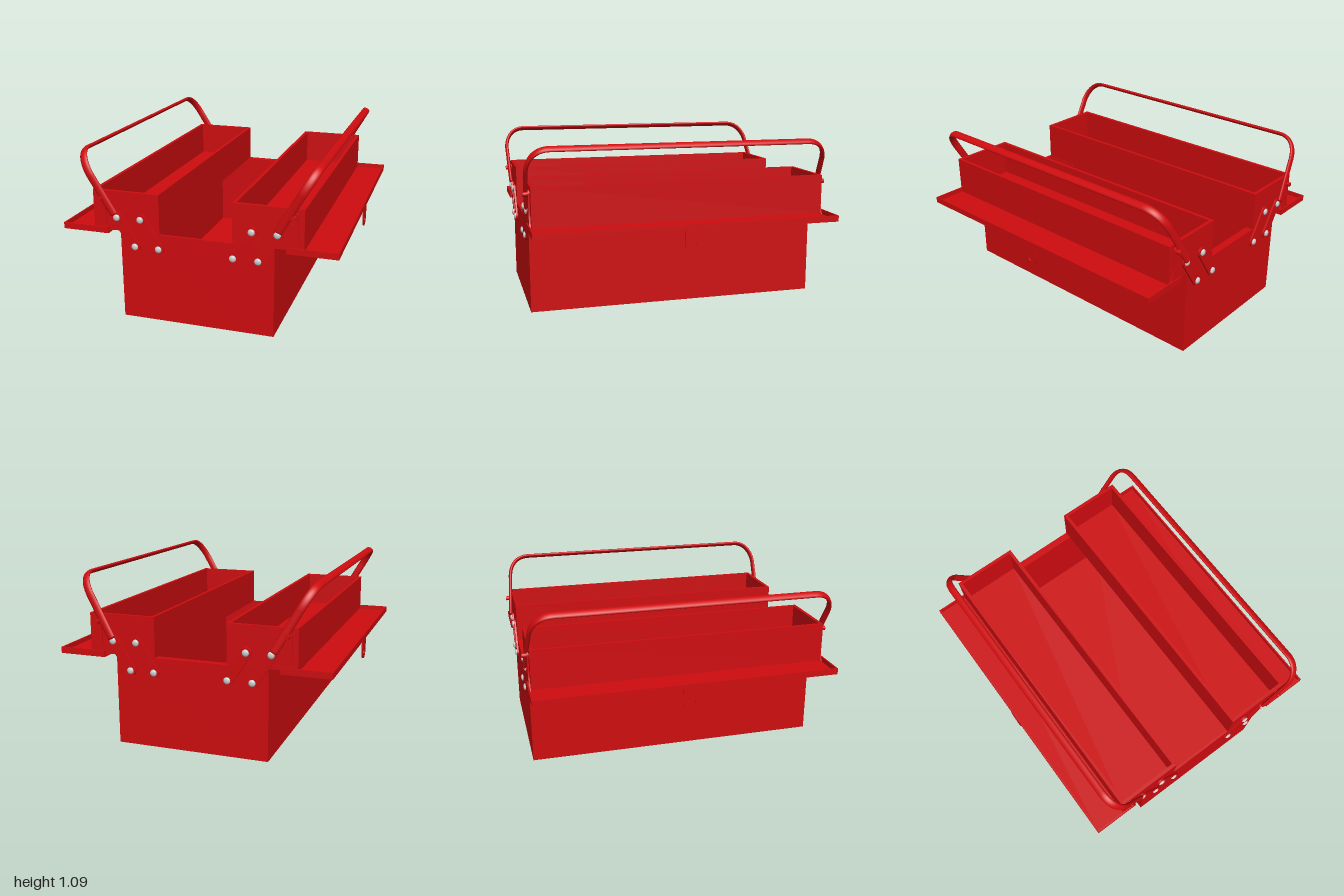
import * as THREE from 'three';

const red = new THREE.MeshStandardMaterial({ color: 0xcf0c0f });
const grey = new THREE.MeshStandardMaterial({ color: 0xcccccc });

function add(parent, name, geometry, material = red) {
  const mesh = new THREE.Mesh(geometry, material);
  mesh.name = name;
  parent.add(mesh);
  return mesh;
}

// Box given by its min and max corners
function block(x0, x1, y0, y1, z0, z1) {
  return new THREE.BoxGeometry(x1 - x0, y1 - y0, z1 - z0)
    .translate((x0 + x1) / 2, (y0 + y1) / 2, (z0 + z1) / 2);
}

function rectangle(target, w, d) {
  target.moveTo(-w / 2, -d / 2);
  target.lineTo(w / 2, -d / 2);
  target.lineTo(w / 2, d / 2);
  target.lineTo(-w / 2, d / 2);
  target.closePath();
  return target;
}

function plate(shape, depth) {
  return new THREE.ExtrudeGeometry(shape, { depth, bevelEnabled: false, curveSegments: 16 });
}

// Open-topped container: a ring of walls and a floor
function openBox(name, w, h, d, t) {
  const group = new THREE.Group();
  group.name = name;
  const ring = rectangle(new THREE.Shape(), w, d);
  ring.holes.push(rectangle(new THREE.Path(), w - 2 * t, d - 2 * t));
  add(group, name + 'Walls', plate(ring, h).rotateX(-Math.PI / 2));
  add(group, name + 'Floor', block(-w / 2 + t, w / 2 - t, 0, t, -d / 2 + t, d / 2 - t));
  return group;
}

// Flat bar with round ends
function linkGeometry(a, b, r, depth) {
  const angle = Math.atan2(b.y - a.y, b.x - a.x);
  const shape = new THREE.Shape();
  shape.absarc(b.x, b.y, r, angle - Math.PI / 2, angle + Math.PI / 2);
  shape.absarc(a.x, a.y, r, angle + Math.PI / 2, angle + 1.5 * Math.PI);
  shape.closePath();
  return plate(shape, depth);
}

// Flared hinge tab standing at each end of a lid
function hingeShape() {
  const s = new THREE.Shape();
  s.moveTo(0.57, 0.57);
  s.lineTo(0.675, 0.57);
  s.quadraticCurveTo(0.638, 0.63, 0.636, 0.7);
  s.lineTo(0.636, 0.79);
  s.absarc(0.612, 0.79, 0.024, 0, Math.PI);
  s.lineTo(0.588, 0.7);
  s.quadraticCurveTo(0.586, 0.63, 0.57, 0.6);
  s.closePath();
  return s;
}

// Tray, lid, hinges, latch and links of one side
function createSide(name) {
  const side = new THREE.Group();
  side.name = name;
  const tray = openBox('tray', 0.437, 0.256, 1.92, 0.022);
  tray.position.set(0.453, 0.579, 0);
  side.add(tray);

  // Lid folded open, with its rim turned up
  add(side, 'lidPanel', block(0.57, 0.88, 0.56, 0.57, -0.98, 0.98));
  add(side, 'lidOuterRim', block(0.87, 0.88, 0.57, 0.6, -0.98, 0.98));

  // Latch tab with a hole
  const tab = new THREE.Shape();
  tab.moveTo(0.056, 0.6);
  tab.lineTo(-0.056, 0.6);
  tab.lineTo(-0.056, 0.486);
  tab.absarc(0, 0.486, 0.056, Math.PI, 2 * Math.PI);
  tab.closePath();
  const hole = new THREE.Path();
  hole.absarc(0, 0.48, 0.021, 0, 2 * Math.PI, true);
  tab.holes.push(hole);
  add(side, 'latchTab', plate(tab, 0.008).rotateY(Math.PI / 2).translate(0.873, 0, 0));

  for (const e of [1, -1]) {
    add(side, 'lidEndRim', block(0.57, 0.87, 0.57, 0.6, e * 0.975 - 0.005, e * 0.975 + 0.005));
    add(side, 'lidHinge', plate(hingeShape(), 0.01).translate(0, 0, e * 0.967 - 0.005));
    add(side, 'hingePin', new THREE.CylinderGeometry(0.015, 0.015, 0.05, 20)
      .rotateX(Math.PI / 2).translate(0.612, 0.785, e * 0.977));
    for (const x of [0.24, 0.397]) {
      const low = new THREE.Vector2(x, 0.487);
      const high = new THREE.Vector2(x + 0.116, 0.667);
      add(side, 'link', linkGeometry(low, high, 0.034, 0.012).translate(0, 0, e * 0.967 - 0.006));
      for (const p of [low, high]) {
        const rivet = add(side, 'rivet', new THREE.SphereGeometry(0.022, 20, 12), grey);
        rivet.scale.z = 0.55;
        rivet.position.set(p.x, p.y, e * 0.975);
      }
    }
  }
  return side;
}

// Flattened bent bar leaning outward; s is +1 or -1
function createHandle(name, s) {
  const path = new THREE.CurvePath();
  const v = (a, b) => new THREE.Vector3(a, b, 0);
  path.add(new THREE.LineCurve3(v(-0.981, 0), v(-0.956, 0.28)));
  path.add(new THREE.CubicBezierCurve3(v(-0.956, 0.28), v(-0.95, 0.37), v(-0.9, 0.435), v(-0.81, 0.435)));
  path.add(new THREE.LineCurve3(v(-0.81, 0.435), v(0.85, 0.435)));
  path.add(new THREE.CubicBezierCurve3(v(0.85, 0.435), v(0.93, 0.435), v(0.98, 0.37), v(0.985, 0.28)));
  path.add(new THREE.LineCurve3(v(0.985, 0.28), v(0.974, 0)));
  const geometry = new THREE.TubeGeometry(path, 200, 0.0125, 16).scale(1, 1, 2.1);
  const group = new THREE.Group();
  group.name = name;
  add(group, 'handleBar', geometry);
  // Closed lower ends
  for (const z of [-0.981, 0.974]) {
    add(group, 'handleEnd', new THREE.SphereGeometry(0.0125, 16, 10).scale(1, 1, 2.1).translate(z, 0, 0));
  }
  const along = new THREE.Vector3(s * 0.5, 0.866, 0);
  const across = new THREE.Vector3(0, 0, 1);
  const normal = new THREE.Vector3().crossVectors(across, along);
  group.quaternion.setFromRotationMatrix(new THREE.Matrix4().makeBasis(across, along, normal));
  group.position.set(s > 0 ? 0.52 : -0.532, 0.692, 0);
  return group;
}

export function createModel() {
  const model = new THREE.Group();
  model.name = 'toolbox';
  model.add(openBox('body', 0.99, 0.579, 1.92, 0.015));
  add(model, 'bodyLedge', block(-0.48, 0.48, 0.567, 0.578, -0.945, -0.91));

  const left = createSide('leftSide');
  const right = createSide('rightSide');
  right.rotation.y = Math.PI;
  model.add(left, right, createHandle('leftHandle', 1), createHandle('rightHandle', -1));
  return model;
}
